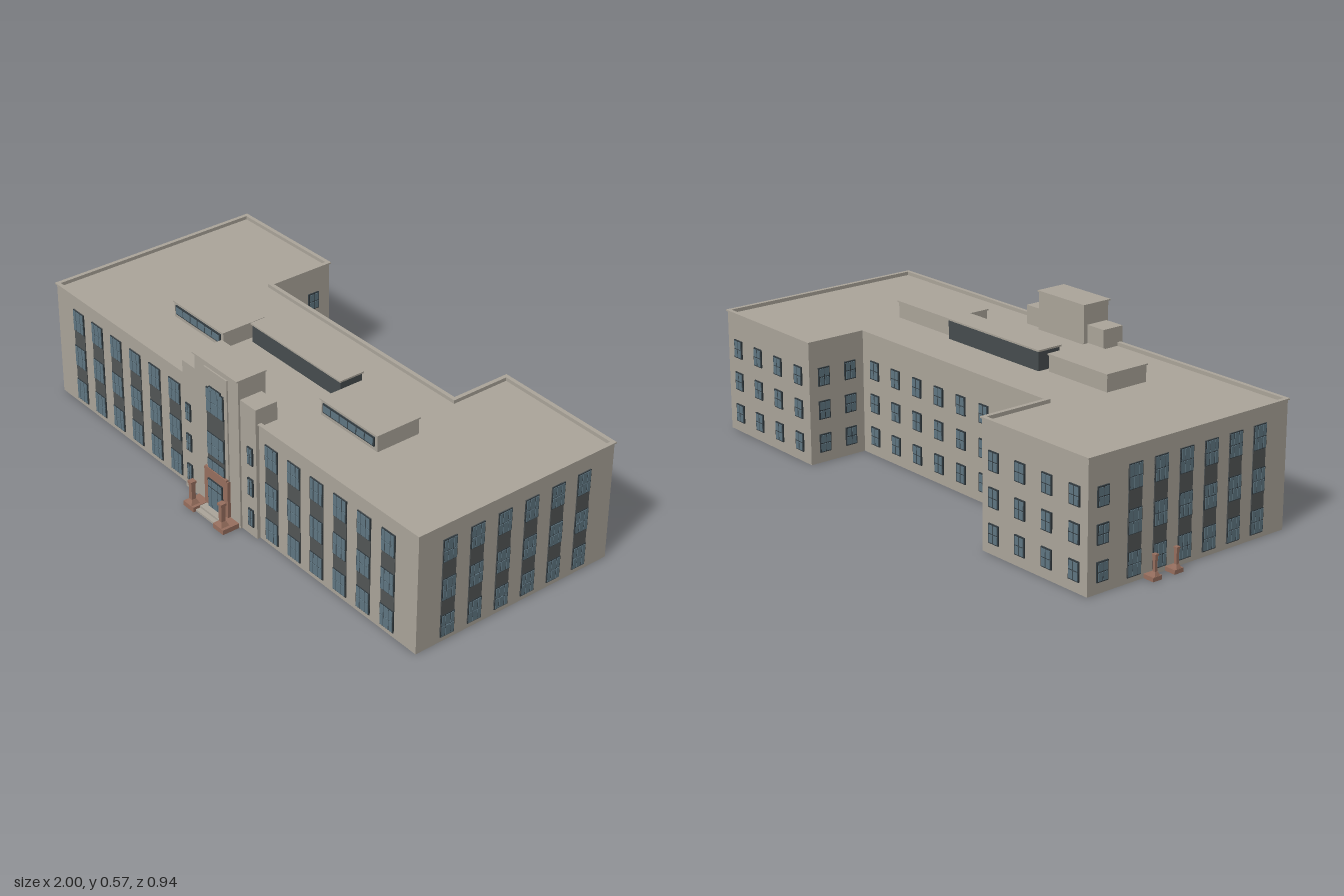
import * as THREE from 'three';
import { mergeGeometries } from 'three/addons/utils/BufferGeometryUtils.js';

const mat = (name, color) => {
  const m = new THREE.MeshStandardMaterial({ color });
  m.name = name;
  return m;
};

export function createModel() {
  const M = {
    stone: mat('stone', 0xaca69b),
    panel: mat('darkPanel', 0x535656),
    frame: mat('windowFrame', 0x333c41),
    glass: mat('glass', 0x607783),
    brick: mat('brownStone', 0x98705f),
    metal: mat('darkMetal', 0x474d4f),
  };
  const root = new THREE.Group();
  root.name = 'building';

  // Box given by its lower and upper corners
  function box(name, m, x0, x1, y0, y1, z0, z1, parent = root) {
    const b = new THREE.Mesh(new THREE.BoxGeometry(x1 - x0, y1 - y0, z1 - z0), m);
    b.position.set((x0 + x1) / 2, (y0 + y1) / 2, (z0 + z1) / 2);
    b.name = name;
    parent.add(b);
    return b;
  }

  // U-shaped footprint, grown outward by d; corners run front, +x side, back, -x side
  const footprint = (d) => [
    [-0.957 - d, 0.38 + d], [0.99 + d, 0.38 + d], [0.99 + d, -0.428 - d], [0.485 - d, -0.435 - d],
    [0.485 - d, -0.207 - d], [-0.478 + d, -0.207 - d], [-0.478 + d, -0.465 - d], [-0.957 - d, -0.458 - d],
  ];
  const outline = (d) => footprint(d).map(([x, z]) => new THREE.Vector2(x, -z));
  function slab(name, d, y0, y1, holeD) {
    const s = new THREE.Shape(outline(d));
    if (holeD !== undefined) s.holes.push(new THREE.Path(outline(holeD)));
    const g = new THREE.ExtrudeGeometry(s, { depth: y1 - y0, bevelEnabled: false });
    g.rotateX(-Math.PI / 2).translate(0, y0, 0);
    const mesh = new THREE.Mesh(g, M.stone);
    mesh.name = name;
    root.add(mesh);
  }
  slab('mainBody', 0, 0, 0.43);
  slab('parapet', 0, 0.43, 0.438, -0.01);
  slab('cornice', 0.005, 0.438, 0.443, -0.01);

  // A facade collects thin plates in wall coordinates and merges them by material
  function facade(name, x, z, angle, fill) {
    const parts = { panel: [], frame: [], glass: [] };
    const plate = (kind, cx, y0, w, h, t) =>
      parts[kind].push(new THREE.BoxGeometry(w, h, t).translate(cx, y0 + h / 2, t / 2));
    const f = {
      plate,
      window(cx, y0, w, h, cols, rows, bar = 0.003) {
        plate('frame', cx, y0, w, h, 0.005);
        const total = cols.reduce((a, b) => a + b, 0);
        const usable = w - bar * (cols.length + 1);
        const ph = (h - bar * (rows + 1)) / rows;
        let left = cx - w / 2 + bar;
        for (const c of cols) {
          const pw = (usable * c) / total;
          for (let r = 0; r < rows; r++) plate('glass', left + pw / 2, y0 + bar + r * (ph + bar), pw, ph, 0.007);
          left += pw + bar;
        }
      },
      // Tall bay: three windows with dark spandrels between
      bay(cx, w) {
        plate('panel', cx, 0.018, w, 0.367, 0.003);
        for (const y of [0.02, 0.158, 0.302]) f.window(cx, y, w, 0.083, [1, 1.5, 1], 2);
      },
      // Stack of three small windows
      stack(cx, w) {
        for (const y of [0.038, 0.158, 0.278]) f.window(cx, y, w, 0.066, [1, 1], 2, 0.004);
      },
    };
    fill(f);
    const g = new THREE.Group();
    g.name = name;
    g.position.set(x, 0, z);
    g.rotation.y = angle;
    for (const k in parts) {
      if (!parts[k].length) continue;
      const mesh = new THREE.Mesh(mergeGeometries(parts[k]), M[k]);
      mesh.name = name + '_' + k;
      g.add(mesh);
    }
    root.add(g);
  }

  // Windows of each wall, measured from the wall's middle
  const row = (n, step, mid = 0) => Array.from({ length: n }, (_, i) => mid + (i - (n - 1) / 2) * step);
  const wallWindows = [
    ['frontWindows', [...row(6, 0.115, -0.5515), ...row(6, 0.115, 0.5515)], [], 0.063],
    ['leftSideWindows', row(6, 0.1115, -0.002), [], 0.055],
    ['leftWingBackWindows', [], row(4, 0.125)],
    ['leftWingInnerWindows', [], row(2, 0.11)],
    ['courtWindows', [], row(8, 0.118)],
    ['rightWingInnerWindows', [], row(2, 0.11)],
    ['rightWingBackWindows', [], row(4, 0.122)],
    ['rightSideWindows', row(6, 0.1055, 0.032), [-0.361], 0.055],
  ];
  const corners = footprint(0);
  wallWindows.forEach(([name, bays, stacks, w], i) => {
    const [ax, az] = corners[i];
    const [bx, bz] = corners[(i + 1) % corners.length];
    facade(name, (ax + bx) / 2, (az + bz) / 2, Math.atan2(az - bz, bx - ax), (f) => {
      bays.forEach((t) => f.bay(t, w));
      stacks.forEach((t) => f.stack(t, 0.046));
    });
  });

  // Entrance tower with lower shoulders
  const cx = 0.016;
  box('towerShoulders', M.stone, cx - 0.198, cx + 0.198, 0, 0.498, 0.306, 0.393);
  box('tower', M.stone, cx - 0.117, cx + 0.117, 0, 0.566, 0.29, 0.4);
  box('towerCap', M.stone, cx - 0.12, cx + 0.12, 0.566, 0.571, 0.287, 0.408);
  box('towerFrontPanel', M.stone, cx - 0.062, cx + 0.062, 0, 0.545, 0.39, 0.405);
  facade('shoulderWindows', cx, 0.393, 0, (f) => [-0.169, 0.169].forEach((t) => f.stack(t, 0.028)));
  facade('towerWindows', cx, 0.405, 0, (f) => {
    f.plate('panel', 0, 0.165, 0.092, 0.31, 0.003);
    f.window(0, 0.165, 0.092, 0.038, [1, 1.5, 1], 1);
    f.window(0, 0.22, 0.092, 0.088, [1, 1.5, 1], 2);
    f.window(0, 0.385, 0.092, 0.092, [1, 1.5, 1], 2);
    f.window(0, 0.472, 0.062, 0.013, [1, 1.5, 1], 1, 0.002);
  });

  // Doorway
  box('doorSurround', M.brick, cx - 0.064, cx + 0.064, 0, 0.158, 0.39, 0.412);
  box('doorLintel', M.brick, cx - 0.06, cx + 0.06, 0.158, 0.165, 0.39, 0.414);
  facade('frontDoor', cx, 0.412, 0, (f) => {
    f.window(0, 0.015, 0.078, 0.082, [1, 1.6, 1], 1);
    f.window(0, 0.097, 0.078, 0.03, [1, 1.6, 1], 1);
  });
  box('lowerStep', M.stone, cx - 0.056, cx + 0.056, 0, 0.008, 0.4, 0.457);
  box('upperStep', M.stone, cx - 0.056, cx + 0.056, 0.008, 0.016, 0.4, 0.44);

  // Lamp posts on square pedestals
  function lampPost(name, x, z, sx, sy, sz) {
    const g = new THREE.Group();
    g.name = name;
    box('pedestal', M.brick, -0.028, 0.028, 0, 0.018, -0.033, 0.033, g);
    const flare = new THREE.Mesh(new THREE.CylinderGeometry(0.013, 0.024, 0.017, 4).rotateY(Math.PI / 4), M.brick);
    flare.geometry = flare.geometry.toNonIndexed();
    flare.geometry.computeVertexNormals();
    flare.position.set(0, 0.0265, 0.015);
    flare.name = 'flaredBase';
    g.add(flare);
    box('shaft', M.brick, -0.008, 0.008, 0.03, 0.097, 0.007, 0.023, g);
    box('postCap', M.brick, -0.011, 0.011, 0.097, 0.106, 0.004, 0.026, g);
    g.position.set(x, 0, z);
    g.scale.set(sx, sy, sz);
    root.add(g);
    return g;
  }
  for (const s of [-1, 1]) {
    lampPost('frontLampPost', cx + s * 0.083, 0.435, 1, 1, 1);
    // Side entrance posts, turned to face -x
    lampPost('sideLampPost', -0.977, -0.165 + s * 0.045, 0.66, 0.8, 0.7).rotation.y = -Math.PI / 2;
  }

  // Rooftop rooms
  box('roofCorridor', M.metal, -0.222, 0.247, 0.42, 0.497, -0.017, 0.074);
  box('corridorRoof', M.stone, -0.226, 0.251, 0.497, 0.503, -0.02, 0.078);
  for (const s of [-1, 1]) {
    const x = cx + s * 0.402;
    box('roofRoom', M.stone, x - 0.14, x + 0.14, 0.42, 0.487, 0.008, 0.178);
    box('roofRoomCap', M.stone, x - 0.143, x + 0.143, 0.487, 0.492, 0.003, 0.182);
    facade('roofRoomWindows', x, 0.178, 0, (f) => f.window(0, 0.446, 0.255, 0.034, [1, 1, 1, 1, 1, 1], 1, 0.005));
  }
  return root;
}
